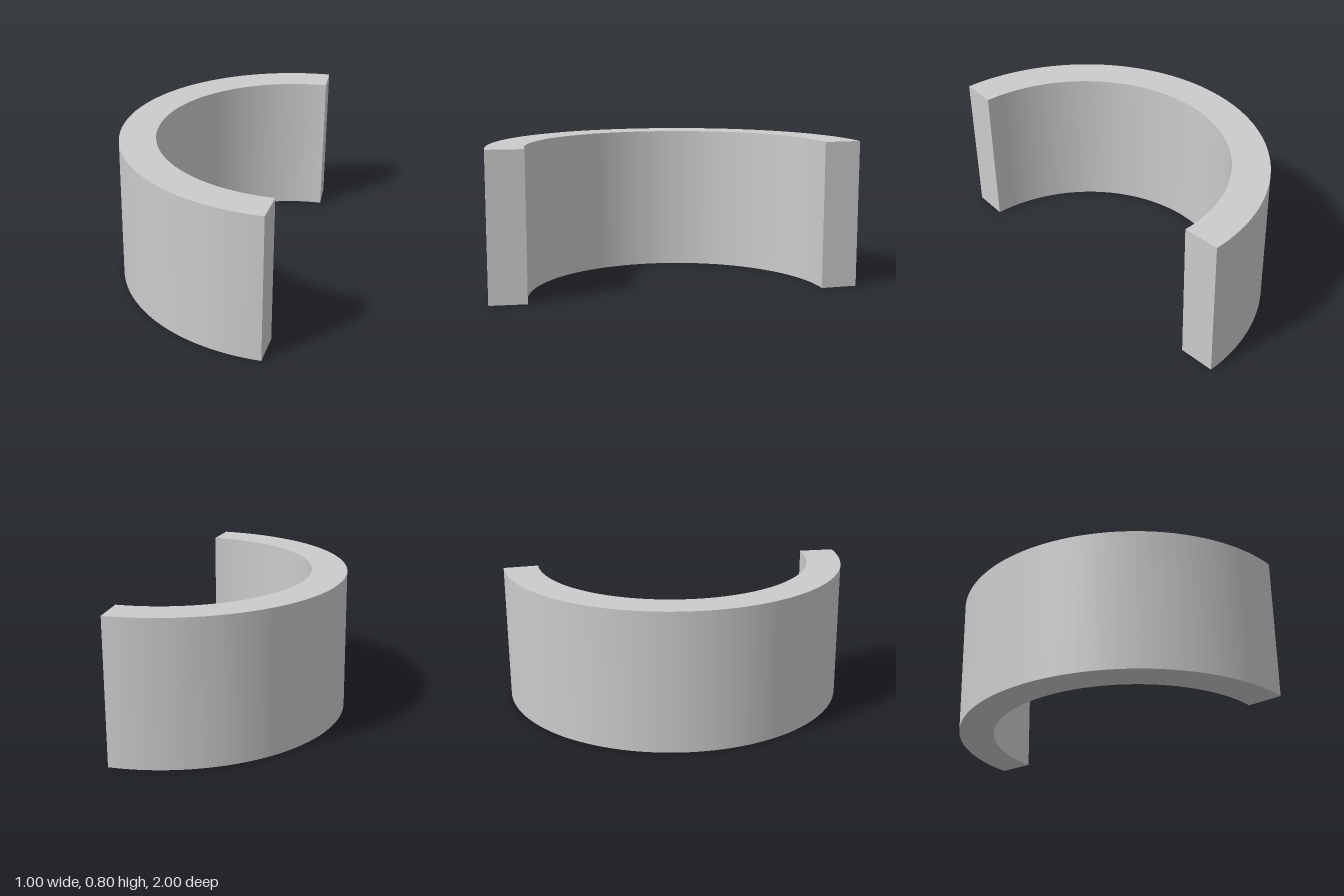
import * as THREE from 'three';

export function createModel() {
  const group = new THREE.Group();
  const height = 0.8, centre = 0.5, outer = 1, inner = 0.8;
  const trim = 0.01; // the outer arc stops slightly short, so the ends are bevelled

  // C-shaped section seen from above
  const section = new THREE.Shape();
  section.absarc(centre, 0, outer, Math.PI / 2 + trim, 1.5 * Math.PI - trim, false);
  section.absarc(centre, 0, inner, 1.5 * Math.PI, Math.PI / 2, true);
  section.closePath();

  // Half ring wall, raised from the ground
  const geometry = new THREE.ExtrudeGeometry(section, {
    depth: height, bevelEnabled: false, curveSegments: 64,
  });
  geometry.rotateX(-Math.PI / 2);

  const wall = new THREE.Mesh(geometry, new THREE.MeshStandardMaterial({ color: 0xcccccc }));
  wall.name = 'halfRingWall';
  group.add(wall);
  return group;
}
